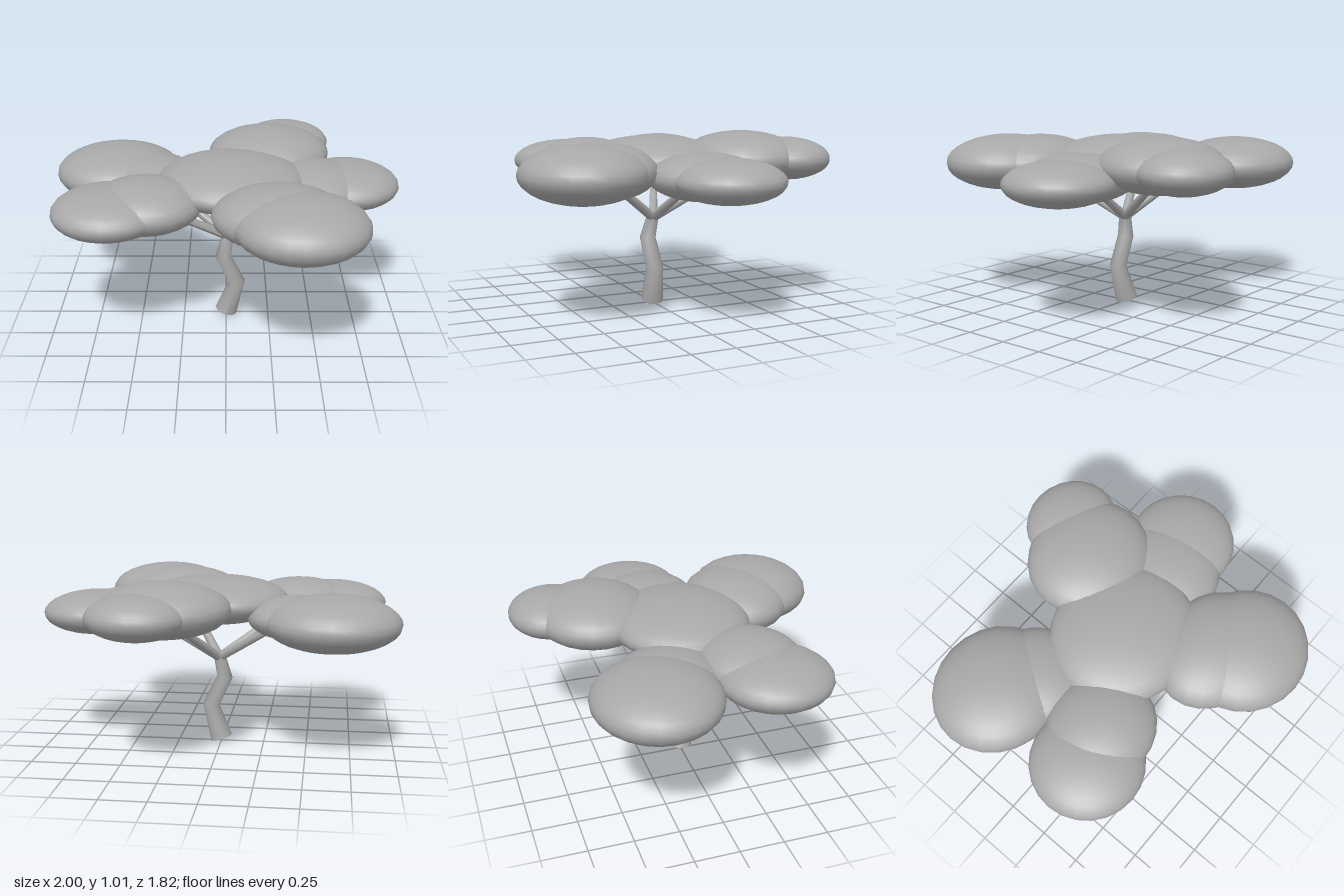
import * as THREE from 'three';

const clay = new THREE.MeshStandardMaterial({ color: 0xa8a8a8 });
clay.name = 'clay grey';

// Tapered limb through [x, y, z, radius] points, with mitred joints
function limb(name, points, sides) {
  const pts = points.map((p) => new THREE.Vector3(p[0], p[1], p[2]));
  const last = pts.length - 1;
  const geo = new THREE.CylinderGeometry(1, 1, 1, sides, last);
  const pos = geo.attributes.position;
  const rings = pts.map((p, i) => {
    const dir = new THREE.Vector3();
    if (i > 0) dir.add(p.clone().sub(pts[i - 1]).normalize());
    if (i < last) dir.add(pts[i + 1].clone().sub(p).normalize());
    return new THREE.Quaternion().setFromUnitVectors(new THREE.Vector3(0, 1, 0), dir.normalize());
  });
  const v = new THREE.Vector3();
  for (let i = 0; i < pos.count; i++) {
    const k = Math.round((pos.getY(i) + 0.5) * last);
    v.set(pos.getX(i), 0, pos.getZ(i)).multiplyScalar(points[k][3]);
    v.applyQuaternion(rings[k]).add(pts[k]);
    pos.setXYZ(i, v.x, v.y, v.z);
  }
  geo.computeVertexNormals();
  const mesh = new THREE.Mesh(geo, clay);
  mesh.name = name;
  return mesh;
}

// Flattened foliage cloud
function cloud(name, [x, y, z, rx, ry, rz]) {
  const mesh = new THREE.Mesh(new THREE.SphereGeometry(1, 24, 16), clay);
  mesh.name = name;
  mesh.position.set(x, y, z);
  mesh.scale.set(rx, ry, rz);
  return mesh;
}

export function createModel() {
  const tree = new THREE.Group();
  tree.name = 'tree';

  // Crooked trunk
  tree.add(limb('trunk', [
    [0, 0.02, 0, 0.065],
    [0.062, 0.22, 0.012, 0.049],
    [-0.018, 0.385, 0.02, 0.046],
    [0.012, 0.52, 0, 0.034],
  ], 12));

  // Foliage: x, y, z, then radii. Each branch ends in its inner cloud.
  tree.add(cloud('centreFoliage', [0.03, 0.85, 0, 0.42, 0.132, 0.395]));
  const clusters = {
    backLeft: [[-0.45, 0.79, -0.22, 0.28, 0.12, 0.28], [-0.635, 0.785, -0.33, 0.37, 0.152, 0.345]],
    frontLeft: [[-0.44, 0.805, 0.24, 0.31, 0.14, 0.29], [-0.635, 0.795, 0.31, 0.31, 0.125, 0.31]],
    right: [[0.5, 0.79, -0.08, 0.3, 0.13, 0.31], [0.695, 0.785, -0.12, 0.3, 0.12, 0.3]],
    backRight: [[0.255, 0.86, -0.44, 0.36, 0.15, 0.335], [0.36, 0.855, -0.66, 0.27, 0.12, 0.25]],
    frontRight: [[0.28, 0.82, 0.43, 0.36, 0.155, 0.3], [0.39, 0.82, 0.565, 0.36, 0.157, 0.34]],
  };
  for (const [side, [inner, outer]] of Object.entries(clusters)) {
    tree.add(cloud(side + 'InnerFoliage', inner));
    tree.add(cloud(side + 'OuterFoliage', outer));
    tree.add(limb(side + 'Branch', [
      [0.012, 0.505, 0, 0.027],
      [inner[0], 0.81, inner[2], 0.018],
    ], 8));
  }
  return tree;
}
